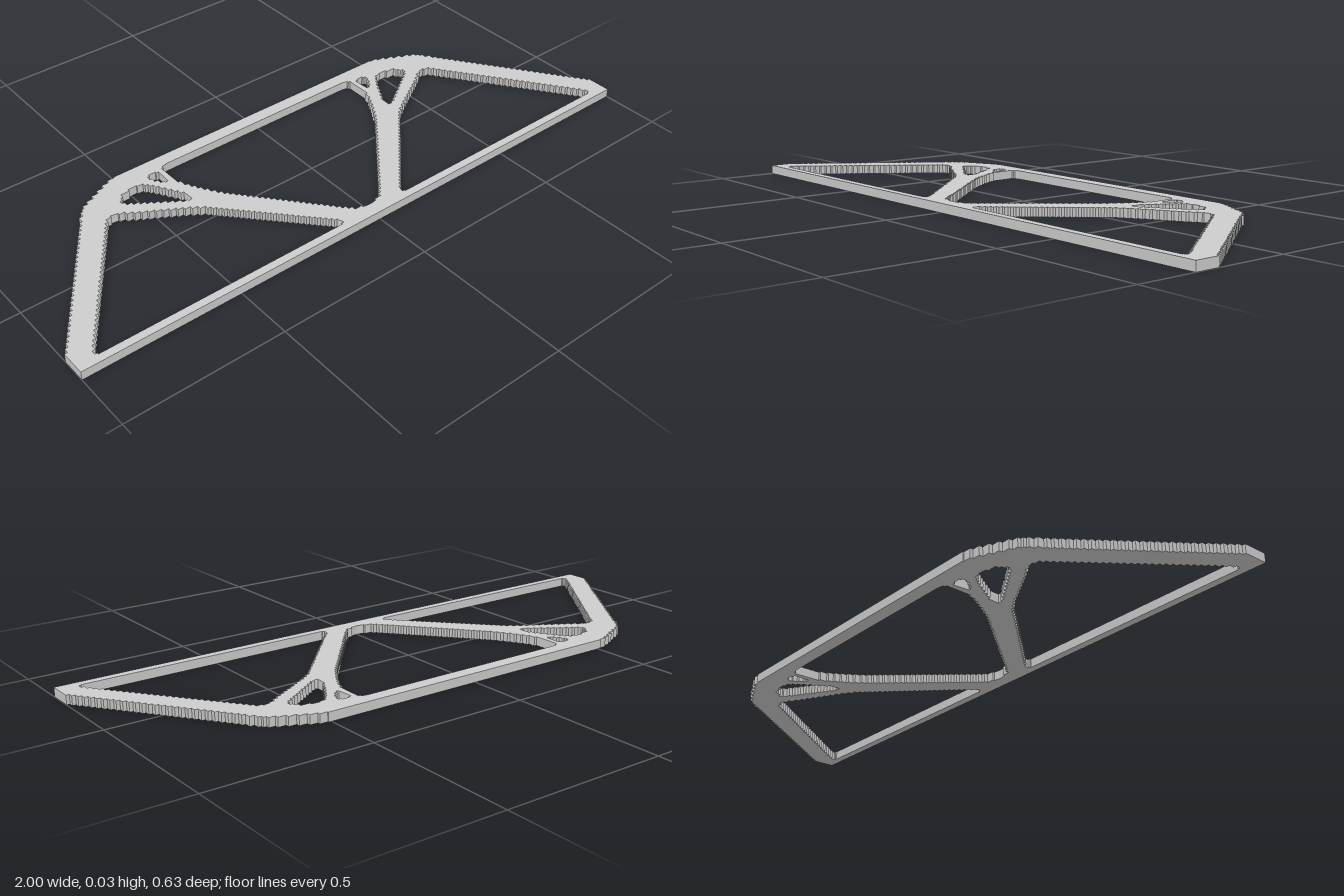
import * as THREE from 'three';

const THICKNESS = 0.0285;
const STEP = 0.011; // size of the small stair steps along the sloping edges

// Points are [x, z]; a sloping edge becomes a fine staircase centred on its line.
function stepped(points) {
  const out = [];
  points.forEach(([x, z], i) => {
    const [nx, nz] = points[(i + 1) % points.length];
    const dx = nx - x, dz = nz - z;
    out.push(new THREE.Vector2(x, -z));
    const n = Math.round(Math.min(Math.abs(dx), Math.abs(dz)) / STEP);
    for (let k = 0; k < n; k++) {
      const middle = -(z + (dz * (k + 0.5)) / n);
      out.push(new THREE.Vector2(x + (dx * k) / n, middle));
      out.push(new THREE.Vector2(x + (dx * (k + 1)) / n, middle));
    }
  });
  return out;
}

// Outlines run counter-clockwise and openings clockwise, so all walls face out.
function wound(points, clockwise) {
  const loop = stepped(points);
  return THREE.ShapeUtils.isClockWise(loop) === clockwise ? loop : loop.reverse();
}

const mirror = (points) => points.map(([x, z]) => [-x, z]).reverse();
const bothSides = (half) => [...half, ...mirror(half)];

export function createModel() {
  const gray = new THREE.MeshStandardMaterial({ color: 0xcccccc });
  gray.name = 'light gray';

  // Outer edge, +x half from the top chord to the base
  const outline = bothSides([
    [0.51, -0.313], [0.535, -0.306], [0.635, -0.257], [0.655, -0.245],
    [0.675, -0.225], [0.69, -0.2], [0.99, 0.225], [1, 0.24], [1, 0.313],
  ]);

  // Central opening between the two diagonals
  const centre = bothSides([
    [0.35, -0.269], [0.368, -0.265], [0.375, -0.253], [0.374, -0.185],
    [0.365, -0.155], [0.335, -0.1], [0.3, -0.045], [0.075, 0.225],
    [0.05, 0.252], [0.025, 0.265], [0.005, 0.268],
  ]);

  // Large opening at the side
  const side = [
    [0.122, 0.287], [0.114, 0.279], [0.119, 0.266], [0.378, -0.02],
    [0.413, -0.047], [0.555, -0.132], [0.592, -0.159], [0.616, -0.163],
    [0.635, -0.15], [0.93, 0.258], [0.94, 0.277], [0.932, 0.287],
  ];

  // Teardrop opening in the upper joint
  const teardrop = [
    [0.386, -0.08], [0.388, -0.112], [0.44, -0.2], [0.46, -0.225],
    [0.48, -0.235], [0.51, -0.234], [0.54, -0.219], [0.558, -0.196],
    [0.55, -0.182], [0.47, -0.127], [0.4, -0.079],
  ];

  // Tiny opening beside the thin strut
  const slot = [
    [0.391, -0.245], [0.4, -0.254], [0.424, -0.255], [0.432, -0.242],
    [0.426, -0.225], [0.404, -0.194], [0.394, -0.195],
  ];

  const shape = new THREE.Shape(wound(outline, false));
  const openings = [centre, ...[side, teardrop, slot].flatMap((h) => [h, mirror(h)])];
  shape.holes = openings.map((h) => new THREE.Path(wound(h, true)));

  // Flat plate lying on the ground
  const geometry = new THREE.ExtrudeGeometry(shape, { depth: THICKNESS, bevelEnabled: false });
  geometry.rotateX(-Math.PI / 2);
  const truss = new THREE.Mesh(geometry, gray);
  truss.name = 'trussFrame';

  const model = new THREE.Group();
  model.name = 'truss';
  model.add(truss);
  return model;
}
